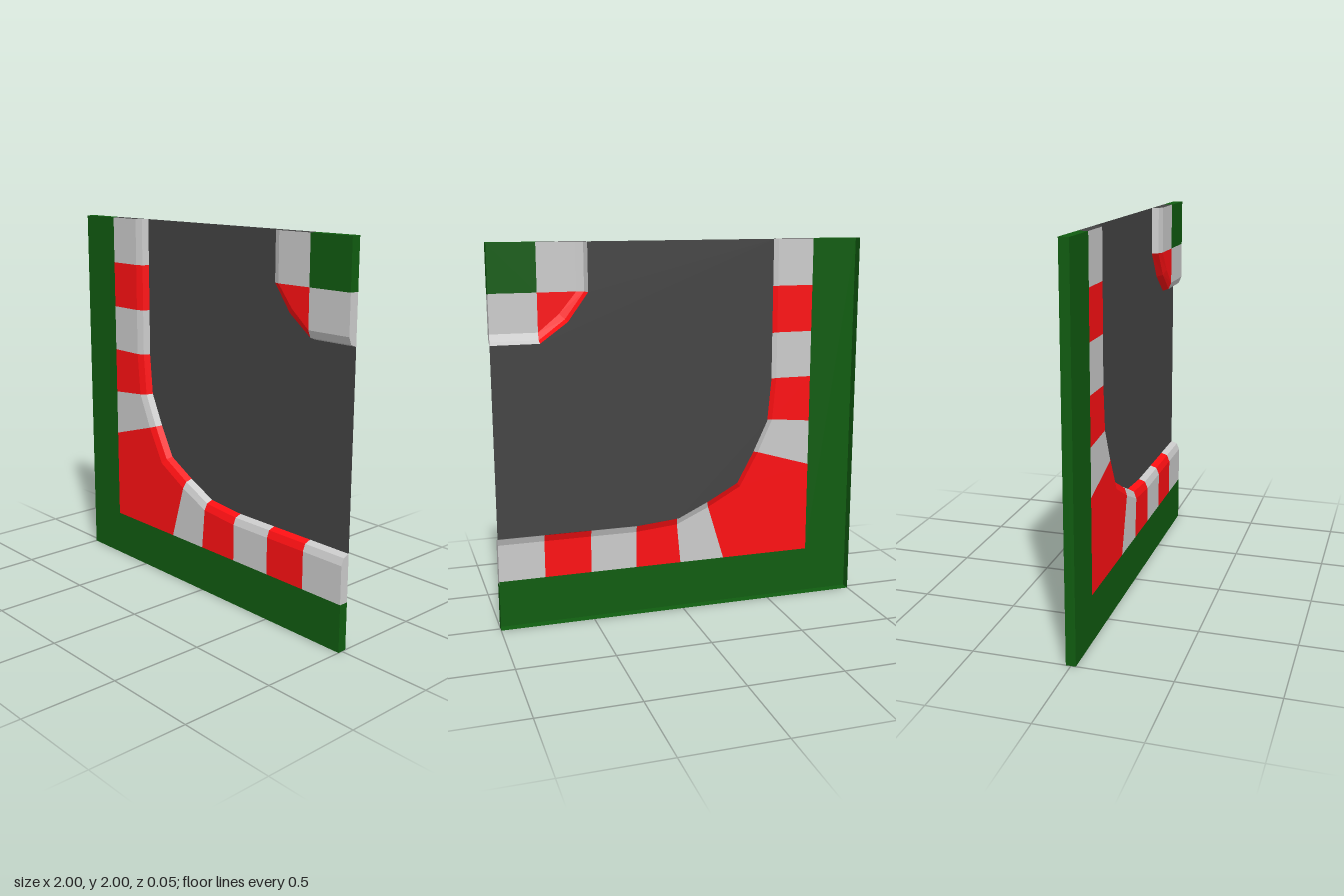
import * as THREE from 'three';

const FRONT = 0.025, BACK = -0.025;
const material = (color) => new THREE.MeshStandardMaterial({ color, flatShading: true, side: THREE.DoubleSide });
const green = material(0x105c10), red = material(0xff1013), grey = material(0xcccccc), dark = material(0x444444);

// One mesh from a list of convex polygons (each a loop of [x, y, z] corners)
function polygons(name, mat, loops) {
  const positions = [];
  for (const loop of loops) {
    for (let i = 1; i < loop.length - 1; i++) positions.push(...loop[0], ...loop[i], ...loop[i + 1]);
  }
  const geometry = new THREE.BufferGeometry();
  geometry.setAttribute('position', new THREE.Float32BufferAttribute(positions, 3));
  geometry.computeVertexNormals();
  const mesh = new THREE.Mesh(geometry, mat);
  mesh.name = name;
  return mesh;
}

// Flat sheet facing the front
function sheet(name, mat, points, z) {
  const shape = new THREE.Shape(points.map(([x, y]) => new THREE.Vector2(x, y)));
  const mesh = new THREE.Mesh(new THREE.ShapeGeometry(shape), mat);
  mesh.position.z = z;
  mesh.name = name;
  return mesh;
}

// Vertical rim wall along the edge a -> b (counterclockwise around the tile)
const wall = (a, b) => [[...a, BACK], [...b, BACK], [...b, FRONT], [...a, FRONT]];

// Curb cross-section: flat top, then a two-step bevel down to the road
function section({ outer, inner }) {
  const dx = outer[0] - inner[0], dy = outer[1] - inner[1];
  const length = Math.hypot(dx, dy);
  const at = (d, z) => [inner[0] + dx * d / length, inner[1] + dy * d / length, z];
  return [[...outer, FRONT], at(0.05, FRONT), at(0.013, 0.01), [...inner, BACK]];
}

// Striped curb; each stripe is a run of stations sharing one colour
function curb(name, stations, stripes, startMat, endMat) {
  const group = new THREE.Group();
  group.name = name;
  const sections = stations.map(section);
  let first = 0;
  stripes.forEach(([mat, count], n) => {
    const loops = [];
    for (let i = first; i < first + count; i++) {
      const a = sections[i], b = sections[i + 1];
      for (let k = 0; k < 3; k++) {
        const meet = a[k][0] === b[k][0] && a[k][1] === b[k][1];
        loops.push(meet ? [a[k], b[k + 1], a[k + 1]] : [a[k], b[k], b[k + 1], a[k + 1]]);
      }
    }
    group.add(polygons(`stripe${n + 1}`, mat, loops));
    first += count;
  });
  // End caps
  const cap = (i) => [[...stations[i].outer, BACK], ...sections[i]];
  group.add(polygons('startCap', startMat, [cap(0)]));
  group.add(polygons('endCap', endMat, [cap(stations.length - 1).reverse()]));
  return group;
}

export function createModel() {
  const model = new THREE.Group();
  model.name = 'trackCorner';

  // Outer curb stations: one half, then mirrored across the tile diagonal
  const half = [
    ...[2, 1.75, 1.5, 1.25].map((y) => ({ outer: [-0.75, y], inner: [-0.5, y] })),
    { outer: [-0.75, 1], inner: [-0.48, 1.025] },
    { outer: [-0.75, 0.75], inner: [-0.4, 0.855] },
  ];
  const flip = ([x, y]) => [y - 1, x + 1];
  const mirrored = half.map((s) => ({ outer: flip(s.outer), inner: flip(s.inner) })).reverse();
  const outerStations = [...half, { outer: [-0.75, 0.25], inner: [-0.31, 0.69] }, ...mirrored];

  // Inner curb around the small grass patch
  const innerStations = [
    { outer: [1, 1.75], inner: [1, 1.5] },
    { outer: [0.75, 1.75], inner: [0.75, 1.5] },
    { outer: [0.75, 1.75], inner: [0.605, 1.605] },
    { outer: [0.75, 1.75], inner: [0.5, 1.75] },
    { outer: [0.75, 2], inner: [0.5, 2] },
  ];

  const outerStripes = Array.from({ length: 11 }, (_, i) => [i % 2 ? red : grey, i === 5 ? 2 : 1]);
  model.add(curb('outerCurb', outerStations, outerStripes, dark, grey));
  model.add(curb('innerCurb', innerStations, [[grey, 1], [red, 2], [grey, 1]], grey, dark));

  // Road surface between the curbs
  model.add(sheet('road', dark, [...outerStations, ...innerStations].map((s) => s.inner), BACK));

  // Grass with its rim walls
  const verge = [[-1, 2], [-1, 0], [1, 0], [1, 0.25], [-0.75, 0.25], [-0.75, 2]];
  model.add(sheet('outerGrass', green, verge, FRONT));
  model.add(polygons('outerGrassRim', green, [
    wall(verge[0], verge[1]), wall(verge[1], verge[2]), wall(verge[2], verge[3]), wall(verge[5], verge[0]),
  ]));
  const patch = [[0.75, 1.75], [1, 1.75], [1, 2], [0.75, 2]];
  model.add(sheet('innerGrass', green, patch, FRONT));
  model.add(polygons('innerGrassRim', green, [wall(patch[1], patch[2]), wall(patch[2], patch[3])]));

  return model;
}
